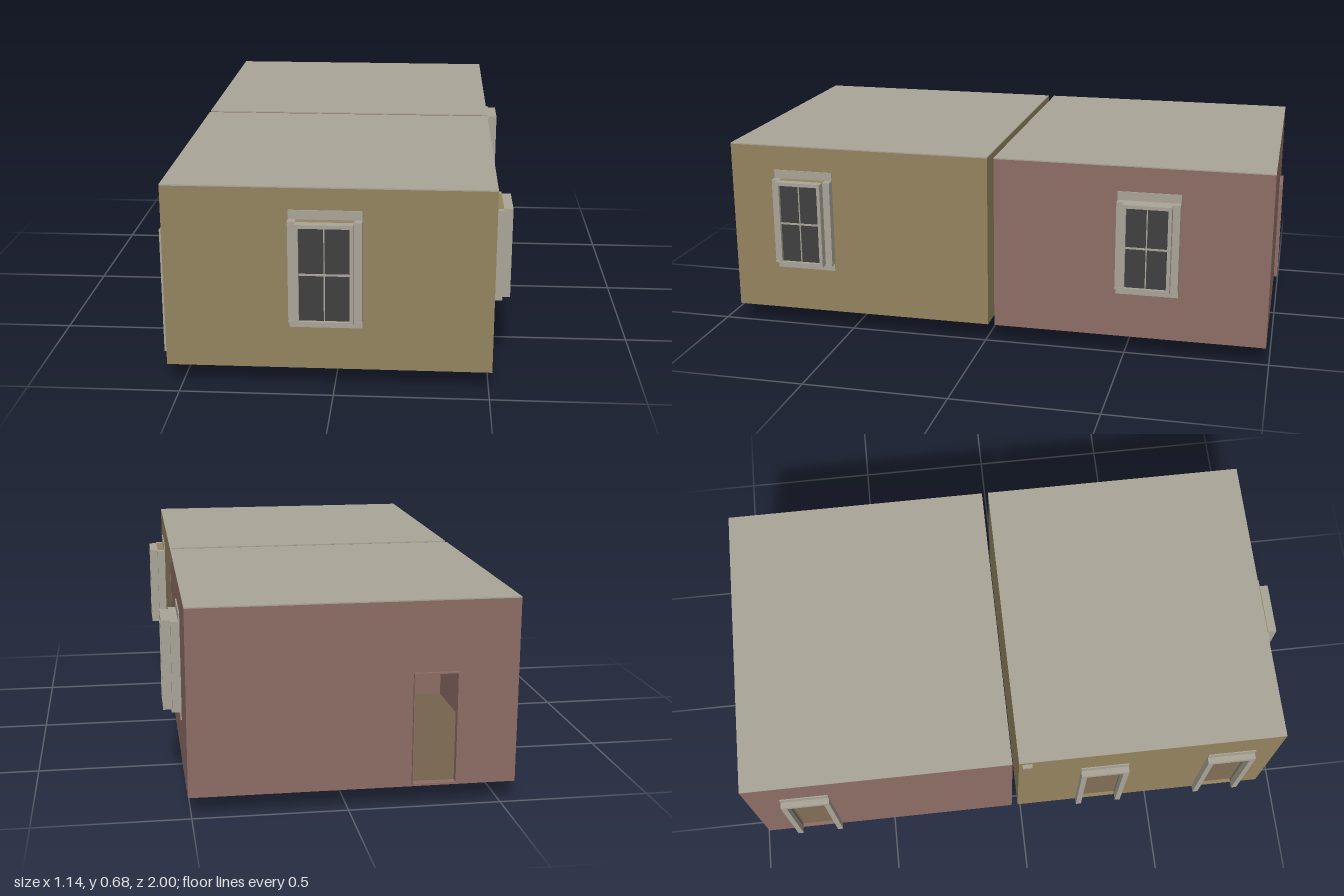
import * as THREE from 'three';

const T = 0.012;              // wall thickness
const Y0 = 0.065, Y1 = 0.676; // underside of floor, top of walls
const X0 = -0.55, X1 = 0.51;
const mat = (color) => new THREE.MeshStandardMaterial({ color });
const ochre = mat(0x94845f), rose = mat(0x8e6d66), trim = mat(0xaaa598);
const dark = mat(0x404040), wood = mat(0x75634d);

function add(parent, name, geometry, material) {
  const mesh = new THREE.Mesh(geometry, material);
  mesh.name = name;
  parent.add(mesh);
  return mesh;
}

// Box given by its limits on each axis
function box(parent, name, material, x0, x1, y0, y1, z0, z1) {
  const mesh = add(parent, name, new THREE.BoxGeometry(x1 - x0, y1 - y0, z1 - z0), material);
  mesh.position.set((x0 + x1) / 2, (y0 + y1) / 2, (z0 + z1) / 2);
  return mesh;
}

const rect = (Kind, [x0, x1, y0, y1]) => new Kind([
  new THREE.Vector2(x0, y0), new THREE.Vector2(x1, y0),
  new THREE.Vector2(x1, y1), new THREE.Vector2(x0, y1),
]);

// Flat slab with rectangular holes, lying in the xy plane from z0 to z1
function slab(outer, holes, z0, z1) {
  const shape = rect(THREE.Shape, outer);
  shape.holes = holes.map((h) => rect(THREE.Path, h));
  return new THREE.ExtrudeGeometry(shape, { depth: z1 - z0, bevelEnabled: false }).translate(0, 0, z0);
}

// Window standing out from the wall; limits are those of the projecting box
function addWindow(wall, wallMat, [x0, x1, y0, y1]) {
  const g = new THREE.Group();
  g.name = 'window';
  wall.add(g);
  const e = 0.012, c = 0.025;
  const hole = [x0 + e, x1 - e, y0 + e, y1 - e];
  add(g, 'windowReveal', slab([x0, x1, y0, y1], [hole], -T, 0.03), wallMat);
  add(g, 'windowFrame', slab([x0, x1, y0, y1], [hole], 0.03, 0.06), trim);
  // side casings, flat head board and flat apron under the sill
  box(g, 'sideCasing', trim, x0 - c, x0, y0, y1, 0, 0.03);
  box(g, 'sideCasing', trim, x1, x1 + c, y0, y1, 0, 0.03);
  box(g, 'headBoard', trim, x0 - c, x1 + c, y1, y1 + 0.03, 0, 0.004);
  box(g, 'apron', trim, x0 - c, x1 + c, y0 - 0.03, y0, 0, 0.004);
  box(g, 'sill', trim, x0 - c, x1 + c, y0 - 0.003, y0 + 0.004, 0, 0.033);
  // dark glazing with crossed glazing bars
  box(g, 'glass', dark, ...hole, 0.042, 0.048);
  const cx = (x0 + x1) / 2, cy = (y0 + y1) / 2;
  box(g, 'glazingBar', trim, cx - 0.002, cx + 0.002, hole[2], hole[3], 0.04, 0.051);
  box(g, 'meetingRail', trim, hole[0], hole[1], cy - 0.003, cy + 0.003, 0.039, 0.052);
}

// Open doorway lined with a casing on both faces of the wall
function addDoorway(wall, [x0, x1, y0, y1]) {
  const g = new THREE.Group();
  g.name = 'doorway';
  wall.add(g);
  const c = 0.02;
  for (const [z0, z1] of [[0, 0.025], [-T - 0.012, -T]]) {
    box(g, 'doorJamb', trim, x0 - c, x0, y0, y1, z0, z1);
    box(g, 'doorJamb', trim, x1, x1 + c, y0, y1, z0, z1);
    box(g, 'doorHead', trim, x0 - c, x1 + c, y1, y1 + c, z0, z1);
  }
  box(g, 'headBoard', trim, x0 - c, x1 + c, y1 + c, y1 + c + 0.03, 0, 0.004);
}

// Wall whose outer face is local z = 0; openings are in local x and world y
function addWall(room, name, material, pos, turn, half, openings) {
  const g = new THREE.Group();
  g.name = name;
  g.position.set(pos[0], 0, pos[1]);
  g.rotation.y = turn;
  room.add(g);
  const holes = openings.map((o) => o.rect);
  add(g, 'wallPanel', slab([-half, half, Y0, Y1], holes, -T, 0), material);
  for (const o of openings) {
    if (o.type === 'window') addWindow(g, o.reveal ?? material, o.rect);
    if (o.type === 'doorway') addDoorway(g, o.rect);
    if (o.type === 'plain') { // thin lining around a bare opening
      const [x0, x1, y0, y1] = o.rect;
      const lining = [x0 + 0.004, x1 - 0.004, y0 - 0.001, y1 - 0.004];
      add(g, 'openingLining', slab([x0, x1, y0 - 0.005, y1], [lining], -T, 0.012), material);
    }
  }
}

// Room shell: floor, four walls and roof; openings are listed by wall
function addRoom(name, material, z0, z1, openings, floorHoles = []) {
  const room = new THREE.Group();
  room.name = name;
  const cx = (X0 + X1) / 2, cz = (z0 + z1) / 2, hx = (X1 - X0) / 2, hz = (z1 - z0) / 2 - T;
  const { front = [], back = [], left = [], right = [] } = openings;
  addWall(room, 'frontWall', material, [cx, z1], 0, hx, front);
  addWall(room, 'backWall', material, [cx, z0], Math.PI, hx, back);
  addWall(room, 'leftWall', material, [X1, cz], Math.PI / 2, hz, left);
  addWall(room, 'rightWall', material, [X0, cz], -Math.PI / 2, hz, right);
  const floor = slab([X0 + T, X1 - T, -z1 + T, -z0 - T], floorHoles, 0, 0.008);
  add(room, 'floor', floor.rotateX(-Math.PI / 2).translate(0, Y0, 0), wood);
  box(room, 'roof', trim, X0, X1, Y1, 0.68, z0, z1);
  return room;
}

export function createModel() {
  const model = new THREE.Group();
  model.name = 'twoRoomHouse';
  const cx = (X0 + X1) / 2;

  // Front room, with windows on the front and left and two doorways on the right
  const fz0 = -0.012, fz1 = 0.937, fc = (fz0 + fz1) / 2;
  const doorRect = (z, c) => [z - c - 0.067, z - c + 0.067, 0.073, 0.48];
  const sideWindow = (z, c, reveal) => ({
    type: 'window', reveal, rect: [c - z - 0.083, c - z + 0.083, 0.253, 0.56],
  });
  const front = addRoom('frontRoom', ochre, fz0, fz1, {
    front: [{ type: 'window', rect: [-0.12 - cx, 0.065 - cx, 0.24, 0.575] }],
    left: [sideWindow(0.665, fc)],
    right: [0.303, 0.767].map((z) => ({ type: 'doorway', rect: doorRect(z, fc) })),
  }, [[-0.13, -0.01, -0.33, -0.21]]);
  model.add(front);

  // Open duct hanging below the floor
  const duct = slab([-0.13, -0.01, -0.33, -0.21], [[-0.126, -0.014, -0.326, -0.214]], 0, 0.073);
  add(front, 'floorDuct', duct.rotateX(-Math.PI / 2), dark);

  // Small bracket high on the right wall
  box(front, 'bracket', trim, X0 - 0.012, X0, 0.645, 0.66, 0, 0.035);

  // Back room, with a window, a doorway and a bare opening in the back wall
  const bz0 = -0.988, bz1 = -0.035, bc = (bz0 + bz1) / 2;
  model.add(addRoom('backRoom', rose, bz0, bz1, {
    back: [{ type: 'plain', rect: [cx + 0.207, cx + 0.353, 0.078, 0.445] }],
    left: [sideWindow(-0.575, bc, trim)],
    right: [{ type: 'doorway', rect: doorRect(-0.787, bc) }],
  }));

  return model;
}
